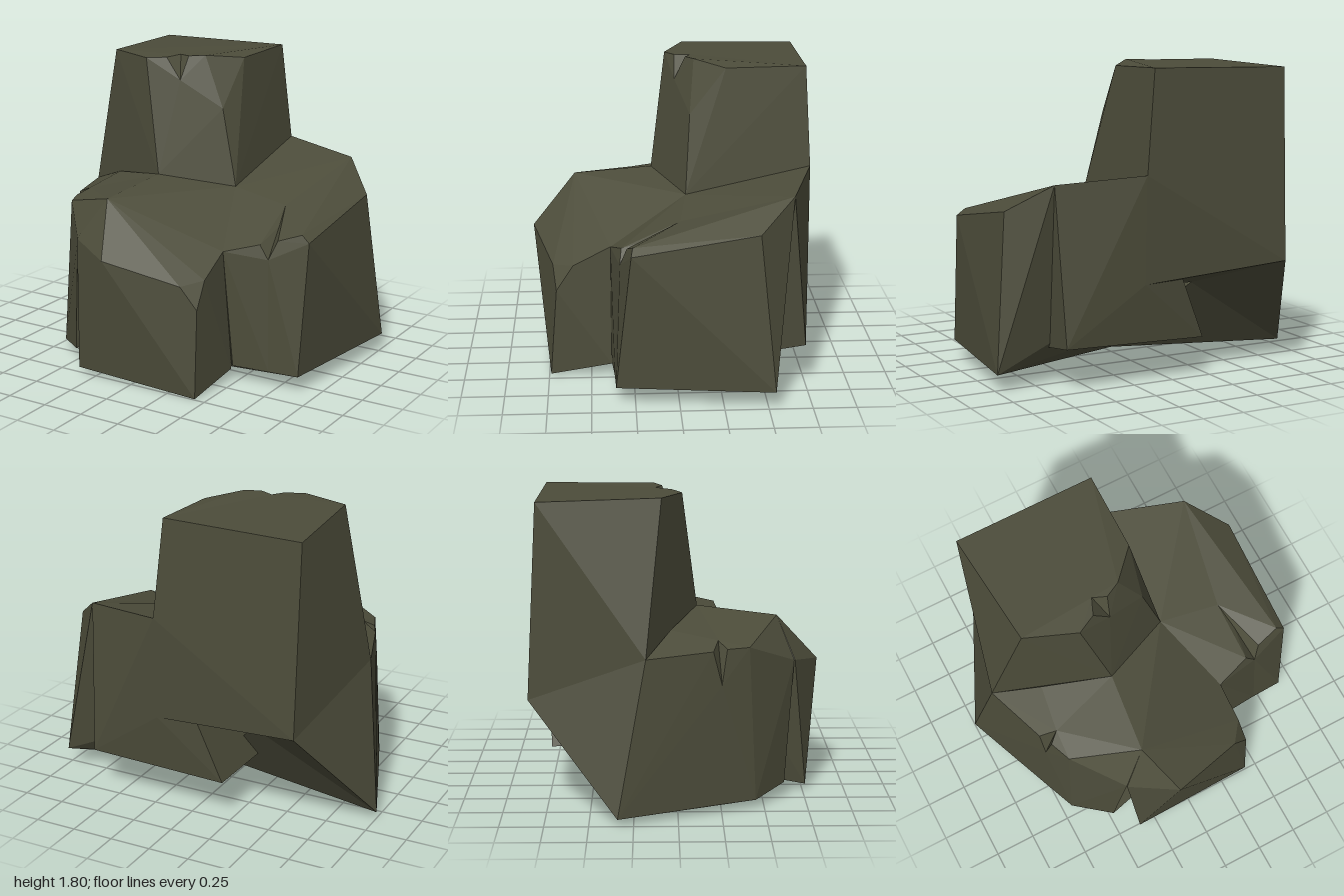
import * as THREE from 'three';
import { ConvexGeometry } from 'three/addons/geometries/ConvexGeometry.js';

const stone = new THREE.MeshStandardMaterial({ color: 0x4c4c3a });
stone.name = 'stone';

// Corners shared by neighbouring chunks
const ridge = [-0.21, 1.1, 0.12];
const saddle = [0.22, 1.04, -0.07];
const leftShoulder = [-0.87, 0.92, -0.18];
const leftFoot = [-1, 0.04, -0.34];
const brow = [-0.26, 1.05, 0.59];
const backShoulder = [0.2, 1.2, -0.81];
const backTop = [0.14, 1.79, -0.78];
const backOverhang = [-0.7, 0.65, -0.85];
const backEdge = [0.2, 0.58, -0.79];
const backTip = [-0.2, 0.23, -0.75];
const hollow = [-0.27, 0.5, -0.5];
const innerLip = [-0.23, 0.25, -0.28];
const rightPeak = [0.7, 1.16, -0.66];
const rightHeel = [0.67, 0.25, -0.54];
const underside = [0.1, 0.08, -0.18];

// Each nick is a V cut between two chunks: an inner end and a lower end
const towerNick = [[-0.2, 1.797, -0.12], [-0.14, 1.66, -0.02]];
const rightNick = [[0.59, 0.99, -0.02], [0.67, 0.76, 0.33]];
const leftNick = [[-0.64, 0.98, 0.23], [-0.735, 0.74, 0.25]];

const chunks = {
  // Tall pillar, split at the nick in its front rim
  towerLeft: [
    ...towerNick, [-0.24, 1.79, -0.025], [-0.35, 1.785, 0.03], [-0.65, 1.79, -0.09],
    [-0.71, 1.775, -0.79], backTop, ridge, leftShoulder, backOverhang, backEdge, backShoulder, hollow,
  ],
  towerRight: [
    ...towerNick, [-0.12, 1.8, -0.085], [-0.03, 1.805, -0.13], [0.135, 1.78, -0.31],
    backTop, backShoulder, [0.11, 1.5, -0.1], saddle, ridge,
  ],
  // Wall under the pillar on -x, ending in a pointed foot
  leftWall: [leftShoulder, leftFoot, backOverhang, hollow, ridge],
  // Side block on +x, split at the nick in its front edge
  sideBlockInner: [
    ...rightNick, backShoulder, backEdge, rightPeak, saddle, [0.61, 0.84, 0.32], [0.4, 0.78, 0.38],
    [0.7, 0.095, 0.365], [0.47, 0.09, 0.38], [0.67, 0.25, -0.745], [0.67, 0.3, -0.735],
    backTip, innerLip, rightHeel,
  ],
  sideBlockOuter: [
    ...rightNick, rightPeak, [0.91, 1, -0.45], [0.9, 0.88, 0.27], [0.85, 0.92, 0.26],
    [0.71, 0.87, 0.29], [0.7, 0.095, 0.365], [0.89, 0.1, 0.36], [1, 0.1, -0.54], rightHeel,
  ],
  // Front block
  frontBlock: [
    ridge, saddle, brow, [0.4, 0.78, 0.38], [-0.13, 0.76, 0.845], [0.32, 0.65, 0.72],
    [0.41, 0.67, 0.6], [0.42, 0.52, 0.7], [0.43, 0, 0.74], [-0.36, 0.04, 0.765],
    [-0.41, 0.81, 0.69], [0.46, 0.07, 0.38], underside,
  ],
  // Side block on -x, split at the nick in its top edge
  lowBlockBack: [
    ...leftNick, leftShoulder, [-0.74, 0.935, 0.2], [-0.6, 1.03, -0.04], ridge, leftFoot,
    [-0.77, 0.05, 0.25], [-0.2, 0.06, 0.2],
  ],
  lowBlockFront: [
    ...leftNick, [-0.7, 0.94, 0.28], [-0.65, 0.94, 0.41], brow, ridge, [-0.41, 0.81, 0.685],
    [-0.69, 0.05, 0.45], [-0.48, 0.09, 0.63], [-0.77, 0.05, 0.25], [-0.2, 0.06, 0.2],
  ],
  // Underside, undercut towards the back
  baseRight: [
    underside, [1, 0.1, -0.54], [0.89, 0.1, 0.36], [0.46, 0.08, 0.37],
    rightHeel, innerLip, [0.4, 0.6, -0.1],
  ],
  baseLeft: [
    underside, leftFoot, [-0.69, 0.05, 0.45], [-0.48, 0.09, 0.63],
    [0, 0.05, 0.5], innerLip, hollow, [-0.3, 0.6, 0],
  ],
};

export function createModel() {
  const rock = new THREE.Group();
  rock.name = 'rock';
  for (const [name, corners] of Object.entries(chunks)) {
    const points = corners.map((c) => new THREE.Vector3(...c));
    const mesh = new THREE.Mesh(new ConvexGeometry(points), stone);
    mesh.name = name;
    rock.add(mesh);
  }
  return rock;
}
